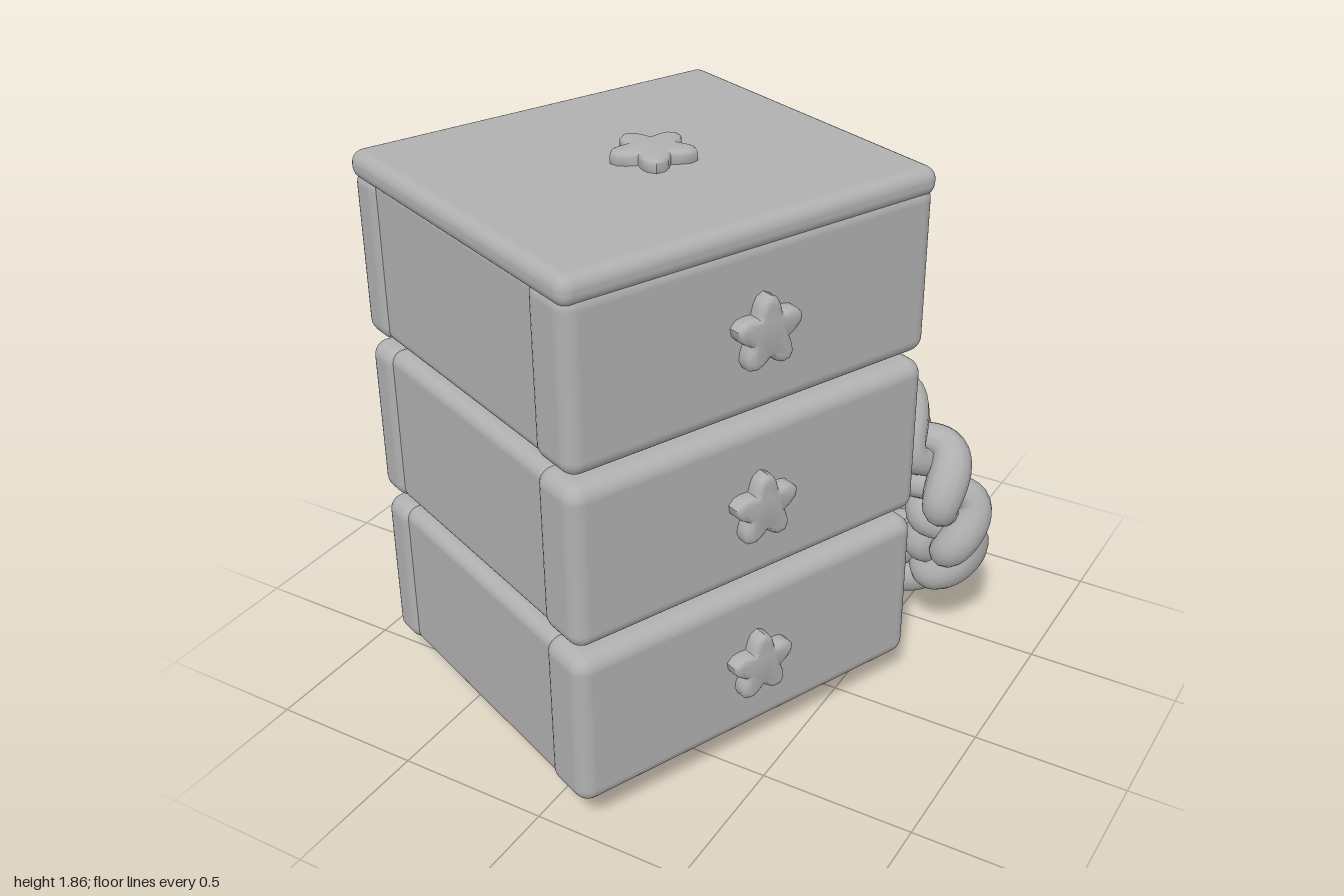
import * as THREE from 'three';
import { toCreasedNormals } from 'three/addons/utils/BufferGeometryUtils.js';
import { RoundedBoxGeometry } from 'three/addons/geometries/RoundedBoxGeometry.js';

const TURN = THREE.MathUtils.degToRad(23);
const HALF_W = 0.57, HALF_D = 0.64;

// Closed centre line of one strand of the braided ring
class BraidStrand extends THREE.Curve {
  constructor(phase) {
    super();
    this.phase = phase;
  }
  getPoint(u, target = new THREE.Vector3()) {
    const a = u * Math.PI * 2, t = 5 * a + this.phase;
    const out = 0.07 * Math.sin(t);       // weave across the ring
    const deep = 0.058 * Math.sin(2 * t); // weave over and under
    const rise = (0.43 + out) * Math.sin(a);
    return target.set((0.615 + out) * Math.cos(a), rise - deep * 0.3, rise * 0.32 + deep);
  }
}

export function createModel() {
  const grey = new THREE.MeshStandardMaterial({ color: 0xb0b0b0 });
  grey.name = 'plain grey';
  const model = new THREE.Group();
  const stack = new THREE.Group();
  stack.name = 'drawerStack';
  stack.position.set(-0.1, 0, 0.2);
  stack.rotation.y = -TURN;
  model.add(stack);

  const add = (name, geometry, x, y, z) => {
    const mesh = new THREE.Mesh(geometry, grey);
    mesh.name = name;
    mesh.position.set(x, y, z);
    stack.add(mesh);
    return mesh;
  };
  const block = (name, x0, x1, y0, y1, halfD, r) =>
    add(name, new RoundedBoxGeometry(x1 - x0, y1 - y0, halfD * 2, 4, r), (x0 + x1) / 2, (y0 + y1) / 2, 0);

  // Puffy five-pointed star, tip along +y, facing +z
  const outline = [];
  for (let i = 0; i < 60; i++) {
    const a = (i / 60) * Math.PI * 2;
    const r = 0.071 + 0.023 * Math.cos(5 * a) + 0.003 * Math.cos(10 * a);
    outline.push(new THREE.Vector2(-Math.sin(a) * r, Math.cos(a) * r));
  }
  const starGeo = toCreasedNormals(new THREE.ExtrudeGeometry(new THREE.Shape(outline), {
    depth: 0.04, bevelThickness: 0.018, bevelSize: 0.018, bevelSegments: 4,
  }), 0.8);

  // Tapered square foot
  const footGeo = new THREE.CylinderGeometry(0.13, 0.095, 0.07, 4, 1).rotateY(Math.PI / 4);
  const flatFoot = toCreasedNormals(footGeo, 0.5);

  // Three stacked drawers
  const levels = [[0.11, 0.635], [0.67, 1.2], [1.23, 1.77]];
  levels.forEach(([y0, y1], i) => {
    const n = i + 1;
    block('drawerFront' + n, 0.38, HALF_W, y0, y1, HALF_D, 0.05);
    block('backPanel' + n, -HALF_W, -0.425, y0, y1, HALF_D, 0.05);
    block('drawerBody' + n, -0.47, 0.43, y0 + 0.003, y1 - 0.003, HALF_D - 0.012, 0.04);
    const star = add('starKnob' + n, starGeo, HALF_W - 0.01, (y0 + y1) / 2 - 0.005, 0);
    star.rotation.y = Math.PI / 2;
    for (const sx of [-1, 1])
      for (const sz of [-1, 1]) add('foot' + n, flatFoot, sx * 0.41, y0 - 0.01, sz * 0.465);
  });

  // Lid and its star
  block('lid', -HALF_W - 0.004, HALF_W + 0.004, 1.73, 1.82, HALF_D + 0.004, 0.04);
  const topStar = add('lidStar', starGeo, 0.02, 1.813, -0.03);
  topStar.rotation.set(-Math.PI / 2, TURN, 0, 'YXZ');
  topStar.scale.set(1.13, 1.13, 0.8);

  // Braided ring leaning on the back
  const ring = new THREE.Group();
  ring.name = 'braidedRing';
  ring.position.set(-0.095, 0.565, -0.84);
  stack.add(ring);
  const SEG = 300, SIDES = 12;
  for (let s = 0; s < 3; s++) {
    const phase = (s * Math.PI * 2) / 3;
    const curve = new BraidStrand(phase);
    const geo = new THREE.TubeGeometry(curve, SEG, 0.06, SIDES, true);
    const pos = geo.attributes.position;
    const p = new THREE.Vector3(), c = new THREE.Vector3();
    // Swell the strand where it lies outside, pinch it where it crosses
    for (let i = 0; i <= SEG; i++) {
      curve.getPointAt((i % SEG) / SEG, c);
      const u = curve.getUtoTmapping((i % SEG) / SEG);
      const swell = 0.97 - 0.17 * Math.cos(2 * (5 * u * Math.PI * 2 + phase));
      for (let j = 0; j <= SIDES; j++) {
        const k = i * (SIDES + 1) + j;
        p.fromBufferAttribute(pos, k).sub(c).multiplyScalar(swell).add(c);
        pos.setXYZ(k, p.x, p.y, p.z);
      }
    }
    const strand = new THREE.Mesh(geo, grey);
    strand.name = 'braidStrand' + (s + 1);
    ring.add(strand);
  }
  return model;
}
